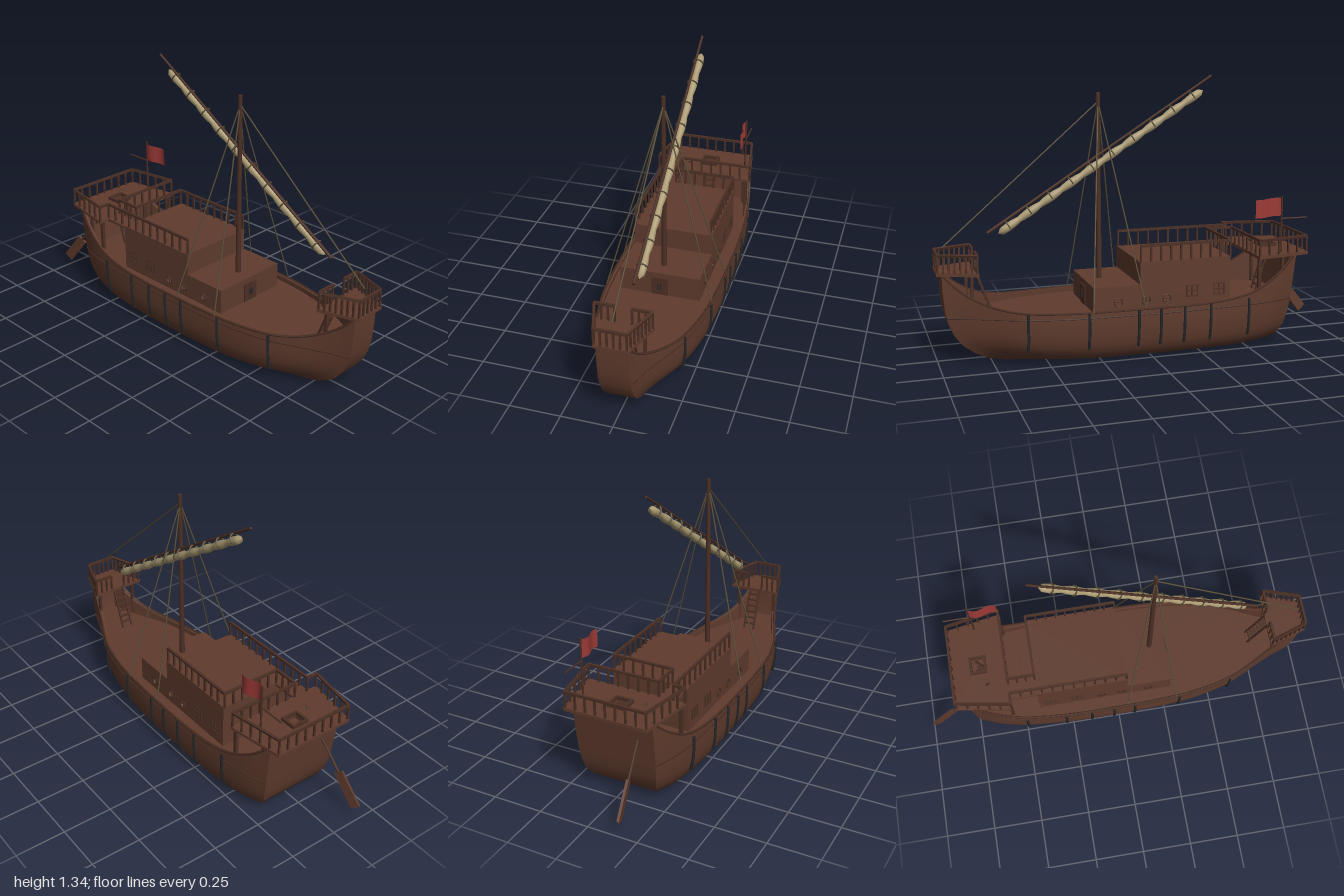
import * as THREE from 'three';
import { toCreasedNormals } from 'three/addons/utils/BufferGeometryUtils.js';

const mat = (name, color, side = THREE.FrontSide) => {
  const m = new THREE.MeshStandardMaterial({ color, side });
  m.name = name;
  return m;
};
const V = (x, y, z) => new THREE.Vector3(x, y, z);
const lerp = THREE.MathUtils.lerp;

// Plan and sheer line: half width, top height, z
const SHEER = new THREE.CatmullRomCurve3([
  V(.205, .46, -.77), V(.236, .37, -.67), V(.258, .295, -.54), V(.27, .262, -.4), V(.278, .25, -.2),
  V(.278, .25, 0), V(.274, .25, .2), V(.259, .25, .4), V(.217, .255, .6), V(.177, .268, .7),
  V(.132, .3, .8), V(.095, .36, .9), V(.075, .435, .975)]);
// Height fraction below the sheer, stem z, stern z, width factor
const ROWS = [[0, .975, -.77, 1], [.2, .972, -.758, 1.005], [.4, .965, -.747, 1], [.55, .95, -.738, .985],
  [.68, .925, -.728, .96], [.8, .885, -.712, .915], [.9, .825, -.685, .85], [.96, .765, -.64, .78], [1, .68, -.56, .68]];
const DECK_Y = .225;

function hullPoint(u, t) {
  const p = SHEER.getPoint(u);
  let i = 0;
  while (i < ROWS.length - 2 && ROWS[i + 1][0] < t) i++;
  const a = ROWS[i], b = ROWS[i + 1], f = (t - a[0]) / (b[0] - a[0]);
  const [bow, stern, sec] = [1, 2, 3].map(k => lerp(a[k], b[k], f));
  const ends = Math.max(0, (p.z - .6) / .375) ** 2;
  return V(p.x * lerp(sec, 1, ends), p.y * (1 - t), lerp(stern, bow, (p.z + .77) / 1.745));
}
const hullAtY = (u, y) => hullPoint(u, 1 - y / SHEER.getPoint(u).y);
function uAtZ(z) {
  let lo = 0, hi = 1;
  for (let i = 0; i < 30; i++) {
    const m = (lo + hi) / 2;
    if (SHEER.getPoint(m).z < z) lo = m; else hi = m;
  }
  return lo;
}

// Skin a grid of points
function skin(rows, crease = .6) {
  const n = rows[0].length, idx = [];
  for (let i = 0; i < rows.length - 1; i++) for (let j = 0; j < n - 1; j++) {
    const a = i * n + j, b = a + n;
    idx.push(a, b, a + 1, b, b + 1, a + 1);
  }
  const g = new THREE.BufferGeometry().setFromPoints(rows.flat());
  g.setIndex(idx);
  return toCreasedNormals(g, crease);
}

export function createModel() {
  const ship = new THREE.Group();
  ship.name = 'sailingShip';
  const wood = mat('hull wood', 0x5f3b2d, THREE.DoubleSide);
  const trim = mat('dark wood trim', 0x4b2f24);
  const iron = mat('black iron', 0x24272a);
  const canvas = mat('furled canvas', 0xaa9a72);
  const ropeMat = mat('rope', 0x5c523b);
  const red = mat('red cloth', 0x9c3a36, THREE.DoubleSide);

  const add = (name, geo, material, parent = ship) => {
    const m = new THREE.Mesh(geo, material);
    m.name = name;
    parent.add(m);
    return m;
  };
  const group = name => {
    const g = new THREE.Group();
    g.name = name;
    ship.add(g);
    return g;
  };
  const span = (m, a, b) => {
    m.position.copy(a).add(b).multiplyScalar(.5);
    m.quaternion.setFromUnitVectors(V(0, 1, 0), b.clone().sub(a).normalize());
    return m;
  };
  const rod = (name, a, b, r, material, parent, r2 = r, sides = 8) =>
    span(add(name, new THREE.CylinderGeometry(r2, r, a.distanceTo(b), sides), material, parent), a, b);
  const bar = (name, a, b, w, material, parent) =>
    span(add(name, new THREE.BoxGeometry(w, a.distanceTo(b), w), material, parent), a, b);
  const box = (name, w, h, d, x, y, z, material, parent) =>
    add(name, new THREE.BoxGeometry(w, h, d), material, parent).position.set(x, y, z);

  // Hull shell, end faces, bulwark lining and deck
  const hull = group('hull');
  const US = Array.from({ length: 49 }, (_, i) => i / 48);
  const mirror = p => V(-p.x, p.y, p.z);
  add('hullShell', skin(US.map(u => {
    const side = ROWS.map(r => hullPoint(u, r[0]));
    return [...side, ...side.map(mirror).reverse()];
  })), wood, hull);
  for (const u of [0, 1]) {
    add(u ? 'bowFace' : 'transom', skin(ROWS.map(r => {
      const p = hullPoint(u, r[0]);
      return [p, mirror(p)];
    })), wood, hull);
  }
  for (const s of [1, -1]) {
    add('bulwarkLining', skin(US.map(u => {
      const top = hullPoint(u, 0), low = hullAtY(u, DECK_Y);
      return [top, V(top.x - .018, top.y, top.z), V(low.x - .018, DECK_Y, low.z)].map(p => s > 0 ? p : mirror(p));
    }), .3), wood, hull);
    const wale = US.map(u => {
      const p = hullAtY(u, DECK_Y);
      return V(s * (p.x + .001), p.y, p.z);
    });
    add('wale', new THREE.TubeGeometry(new THREE.CatmullRomCurve3(wale), 60, .004, 5), trim, hull);
    const cap = US.map(u => {
      const p = hullPoint(u, 0);
      return V(s * (p.x - .003), p.y, p.z);
    });
    add('gunwale', new THREE.TubeGeometry(new THREE.CatmullRomCurve3(cap), 60, .006, 5), trim, hull);
    // Iron straps over the planking
    for (const z of [.6, .32, .08, -.03, -.15, -.285, -.49]) {
      const u = uAtZ(z);
      const pts = [.26, .22, .17, .12, .07].map(y => {
        const p = hullAtY(u, Math.min(y, SHEER.getPoint(u).y));
        return V(s * (p.x + .003), p.y, z);
      });
      add('hullStrap', new THREE.TubeGeometry(new THREE.CatmullRomCurve3(pts), 10, .007, 6), iron, hull);
    }
  }
  add('mainDeck', skin(US.map(u => {
    const p = hullAtY(u, DECK_Y);
    return [p, mirror(p)];
  })), wood, hull);

  // Stepped cabin with portholes through both side walls
  const cabin = group('cabin');
  const outline = new THREE.Shape([[-.28, DECK_Y], [.415, DECK_Y], [.415, .46], [-.05, .46], [-.05, .35], [-.28, .35]]
    .map(p => new THREE.Vector2(...p)));
  const ports = [.16, .02, -.085];
  for (const z of ports) outline.holes.push(new THREE.Path().absarc(-z, .272, .019, 0, Math.PI * 2, true));
  for (const s of [1, -1]) {
    const g = new THREE.ExtrudeGeometry(outline, { depth: .012, bevelEnabled: false, curveSegments: 16 });
    g.rotateY(Math.PI / 2).translate(s > 0 ? .19 : -.202, 0, 0);
    add('cabinSideWall', g, wood, cabin);
    for (const z of ports) {
      const ring = add('portholeRing', new THREE.TorusGeometry(.02, .003, 6, 20), trim, cabin);
      ring.rotation.y = Math.PI / 2;
      ring.position.set(s * .202, .272, z);
      box('portholeBar', .004, .038, .003, s * .198, .272, z, trim, cabin);
      box('portholeBar', .004, .003, .038, s * .198, .272, z, trim, cabin);
    }
    for (const z of [-.215, -.355]) for (const k of [-1, 0, 1]) {
      box('windowFrame', .007, .058, .005, s * .203, .302, z + k * .027, trim, cabin);
      box('windowFrame', .007, .005, .058, s * .203, .302 + k * .027, z, trim, cabin);
    }
    box('doorPanel', .04, .095, .008, s * .021, .275, .282, trim, cabin);
    box('doorHandle', .005, .03, .008, s * .007, .275, .288, iron, cabin);
  }
  box('foreWall', .384, .125, .012, 0, .2875, .274, wood, cabin);
  box('foreRoof', .384, .01, .23, 0, .345, .165, wood, cabin);
  box('stepWall', .384, .11, .012, 0, .405, .044, wood, cabin);
  box('mainRoof', .384, .01, .465, 0, .455, -.1825, wood, cabin);
  box('rearWall', .384, .235, .012, 0, .3425, -.409, wood, cabin);

  // Raised platforms
  const platform = (name, corners, y, holes = []) => {
    const path = pts => pts.map(([x, z]) => new THREE.Vector2(x, -z));
    const shape = new THREE.Shape(path(corners));
    shape.holes = holes.map(h => new THREE.Path(path(h)));
    const g = new THREE.ExtrudeGeometry(shape, { depth: .015, bevelEnabled: false });
    add(name, g.rotateX(-Math.PI / 2).translate(0, y, 0), wood);
  };
  platform('aftDeck', [[-.26, -.545], [.26, -.545], [.212, -.83], [-.212, -.83]], .445,
    [[[-.032, -.66], [.032, -.66], [.032, -.72], [-.032, -.72]]]);
  platform('gangway', [[-.205, -.415], [-.115, -.415], [-.115, -.545], [-.205, -.545]], .445);
  platform('bowPlatform', [[-.08, 1], [.08, 1], [.142, .81], [-.142, .81]], .43);
  for (const s of [1, -1]) {
    bar('aftPost', V(s * .235, DECK_Y, -.555), V(s * .235, .445, -.555), .016, trim);
    bar('aftPost', V(s * .19, DECK_Y, -.7), V(s * .19, .445, -.7), .014, trim);
    bar('bowPost', V(s * .105, DECK_Y, .84), V(s * .105, .43, .84), .014, trim);
    box('hatchCoaming', .012, .02, .085, s * .04, .467, -.69, trim);
    box('hatchCoaming', .085, .02, .012, 0, .467, -.69 + s * .037, trim);
  }

  // Railings with balusters
  const railing = (name, path, y, h, gap) => {
    const g = group(name);
    path.slice(1).forEach(([x2, z2], i) => {
      const [x1, z1] = path[i], a = V(x1, y + h, z1), b = V(x2, y + h, z2);
      bar('handrail', a, b, .012, trim, g);
      const n = Math.max(1, Math.round(a.distanceTo(b) / gap));
      for (let k = 0; k <= n; k++) {
        const p = a.clone().lerp(b, k / n);
        bar('baluster', V(p.x, y, p.z), p, .009, trim, g);
      }
    });
  };
  railing('aftRailing', [[-.195, .045], [-.195, -.55], [-.253, -.55], [-.206, -.822], [.206, -.822], [.253, -.55],
    [-.12, -.55], [-.12, -.415], [.195, -.415], [.195, .045]], .455, .083, .052);
  railing('bowRailing', [[-.04, .816], [-.135, .816], [-.075, .993], [.075, .993], [.135, .816], [.04, .816]], .44, .088, .028);

  // Ladders
  const ladder = (name, a, b, w) => {
    const g = group(name), off = V(w, 0, 0);
    for (const s of [1, -1]) bar('ladderSide', a.clone().addScaledVector(off, s), b.clone().addScaledVector(off, s), .009, trim, g);
    for (let k = 1; k < 7; k++) {
      const p = a.clone().lerp(b, k / 7);
      box('rung', w * 2, .007, .012, p.x, p.y, p.z, trim, g);
    }
  };
  ladder('bowLadder', V(0, DECK_Y, .735), V(0, .445, .815), .028);
  ladder('aftLadder', V(0, DECK_Y, -.63), V(0, .455, -.7), .025);

  // Mast, slanted yard and furled sail
  rod('mast', V(0, DECK_Y, .2), V(0, 1.26, .2), .014, trim, ship, .01, 12);
  rod('yard', V(.028, .612, .75), V(.028, 1.333, -.37), .008, trim, ship, .006);
  const s0 = V(.038, .607, .7), s1 = V(.038, 1.263, -.322), len = s0.distanceTo(s1), bays = 10;
  const profile = Array.from({ length: 61 }, (_, i) => new THREE.Vector2(
    i % 60 === 0 ? 0 : .015 + .006 * Math.abs(Math.sin(i / 60 * bays * Math.PI)), (i / 60 - .5) * len));
  span(add('furledSail', new THREE.LatheGeometry(profile, 12), canvas), s0, s1);
  for (let k = 0; k < bays; k++) {
    const tie = add('sailTie', new THREE.TorusGeometry(.019, .0035, 6, 14), ropeMat);
    tie.position.copy(s0).lerp(s1, (k + .5) / bays).add(V(-.003, .006, .004));
    tie.quaternion.setFromUnitVectors(V(0, 0, 1), s1.clone().sub(s0).normalize());
    tie.scale.set(1.2, 1.35, 1);
  }

  // Rigging
  const masthead = V(0, 1.215, .2);
  rod('forestay', masthead, V(0, .55, .96), .0035, ropeMat, ship, .0035, 6);
  for (const s of [1, -1]) for (const [x, z] of [[.27, .3], [.272, .04]])
    rod('shroud', masthead, V(s * x, .245, z), .0035, ropeMat, ship, .0035, 6);

  // Flag with its pole and side spar
  rod('flagPole', V(.2, .45, -.685), V(.2, .745, -.685), .005, trim);
  rod('flagSpar', V(.2, .632, -.685), V(.2, .632, -.822), .004, trim);
  const cloth = new THREE.PlaneGeometry(.14, .092, 12, 1).rotateY(Math.PI / 2);
  const cp = cloth.attributes.position;
  for (let i = 0; i < cp.count; i++) {
    const f = cp.getZ(i) + .07;
    cp.setX(i, -.01 * Math.sin(f * 42));
    cp.setY(i, cp.getY(i) - f * .05);
  }
  cloth.computeVertexNormals();
  add('flag', cloth, red).position.set(.196, .692, -.615);

  // Steering oar
  const oarTop = V(-.108, .475, -.645), oarEnd = V(-.15, .058, -.983);
  rod('oarShaft', oarTop, oarEnd, .006, trim);
  const blade = add('oarBlade', new THREE.BoxGeometry(.012, .185, .052), wood);
  span(blade, oarTop.clone().lerp(oarEnd, .64), oarEnd);

  return ship;
}
